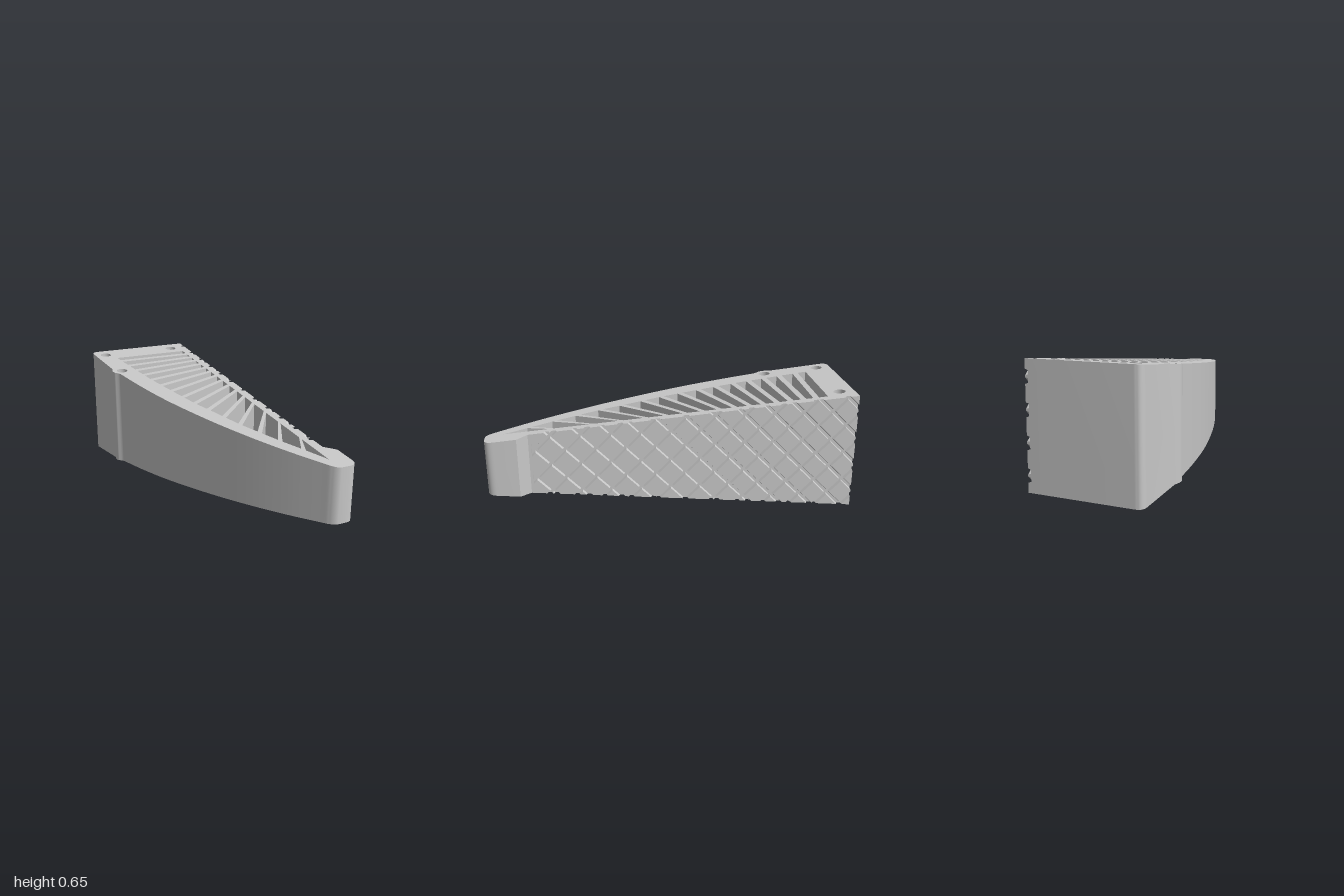
import * as THREE from 'three';
import { toCreasedNormals } from 'three/addons/utils/BufferGeometryUtils.js';
import { ConvexGeometry } from 'three/addons/geometries/ConvexGeometry.js';

const MID = 0.326;                                  // mid height of the finger
const WALL = 0.272, FACE = 0.29, GRIP_END = 0.76;   // groove floor, pad face, front end of pads
const halfHeight = z => 0.326 - 0.0888 * (z + 1);   // linear taper towards the tip

// inner edge of the curved wall, as [z, x]
const INNER = [[-0.84, -0.222], [-0.67, -0.2], [-0.4, -0.162], [-0.18, -0.118], [0.05, -0.068],
  [0.15, -0.037], [0.39, 0.032], [0.64, 0.127], [0.78, 0.188], [0.91, 0.24]];
function innerX(z) {
  let i = 0;
  while (i < INNER.length - 2 && z > INNER[i + 1][0]) i++;
  const [z0, x0] = INNER[i], [z1, x1] = INNER[i + 1];
  return x0 + (x1 - x0) * (z - z0) / (z1 - z0);
}

// rib ends along z: at the curved wall and at the grip wall
const RIB_LEFT = [-0.775, -0.675, -0.58, -0.485, -0.39, -0.285, -0.18, -0.07, 0.04, 0.15, 0.27, 0.39, 0.515, 0.64, 0.77];
const RIB_RIGHT = [-0.775, -0.705, -0.635, -0.56, -0.485, -0.41, -0.33, -0.245, -0.155, -0.06, 0.04, 0.15, 0.285, 0.44, 0.65];
const ribHalf = i => 0.016 - 0.0002 * i;

// plan outline; shape y is -z
function outline() {
  const s = new THREE.Shape();
  s.moveTo(WALL, 1);
  s.lineTo(WALL, -GRIP_END);
  s.lineTo(FACE, -GRIP_END);
  s.lineTo(FACE, -0.775);
  s.lineTo(0.342, -0.83);
  s.lineTo(0.342, -0.95);
  s.quadraticCurveTo(0.342, -1, 0.292, -1);
  s.lineTo(0.25, -1);
  s.quadraticCurveTo(0.222, -0.995, 0.2, -0.95);
  s.splineThru([[0.1, -0.76], [0, -0.54], [-0.1, -0.28], [-0.2, 0.04],
    [-0.262, 0.31], [-0.302, 0.54]].map(p => new THREE.Vector2(...p)));
  s.quadraticCurveTo(-0.309, 0.56, -0.325, 0.575);
  s.quadraticCurveTo(-0.341, 0.6, -0.321, 0.645);
  s.lineTo(-0.342, 0.96);
  s.quadraticCurveTo(-0.342, 1, -0.302, 1);
  s.closePath();

  // cells between the ribs, counter-clockwise
  const n = RIB_LEFT.length;
  for (let i = 0; i <= n; i++) {
    const a = i ? RIB_LEFT[i - 1] + ribHalf(i - 1) : -0.84;
    const b = i ? RIB_RIGHT[i - 1] + ribHalf(i - 1) : -0.84;
    const pts = [[0.24, b], [innerX(a), a]];
    if (i < n) {
      const c = RIB_LEFT[i] - ribHalf(i);
      pts.push([innerX(c), c], [0.24, RIB_RIGHT[i] - ribHalf(i)]);
    } else pts.push([0.24, 0.905]);
    s.holes.push(new THREE.Path(pts.map(([x, z]) => new THREE.Vector2(x, -z))));
  }
  // screw holes
  for (const [x, z] of [[-0.274, -0.92], [0.185, -0.92], [-0.274, -0.6]]) {
    s.holes.push(new THREE.Path().absarc(x, -z, 0.033, 0, Math.PI * 2, false));
  }
  return s;
}

// limits of the grip face, each positive inside; points are [z, height from middle]
const LIMITS = [
  p => p[0] + 1,
  p => GRIP_END - p[0],
  p => halfHeight(p[0]) - p[1],
  p => halfHeight(p[0]) + p[1],
];
function clip(poly) {
  for (const f of LIMITS) {
    const out = [];
    poly.forEach((p, i) => {
      const q = poly[(i + 1) % poly.length], a = f(p), b = f(q);
      if (a >= 0) out.push(p);
      if (a * b < 0) {
        const t = a / (a - b);
        out.push([p[0] + (q[0] - p[0]) * t, p[1] + (q[1] - p[1]) * t]);
      }
    });
    poly = out;
  }
  return poly;
}
const diamond = (z, y, r) => clip([[z + r, y], [z, y + r], [z - r, y], [z, y - r]]);

export function createModel() {
  const model = new THREE.Group();
  const grey = new THREE.MeshStandardMaterial({ color: 0xc8c8c8 });
  grey.name = 'light grey';

  // tapered ribbed body
  const body = new THREE.ExtrudeGeometry(outline(), { depth: 1, bevelEnabled: false, curveSegments: 8 });
  body.rotateX(-Math.PI / 2);
  const pos = body.attributes.position;
  for (let i = 0; i < pos.count; i++) {
    pos.setY(i, MID + (pos.getY(i) - 0.5) * 2 * halfHeight(pos.getZ(i)));
  }
  const bodyMesh = new THREE.Mesh(toCreasedNormals(body, 0.5), grey);
  bodyMesh.name = 'ribbedBody';
  model.add(bodyMesh);

  // diamond pads separated by narrow crossing grooves
  const pads = new THREE.Group();
  pads.name = 'gripPads';
  const step = 0.08;
  for (let i = 0; i <= 23; i++) {
    for (let j = -5; j <= 5; j++) {
      if ((i + j) % 2) continue;
      const z = 0.74 - i * step, y = j * step;
      const base = diamond(z, y, step - 0.01), top = diamond(z, y, step - 0.016);
      if (base.length < 3 || top.length < 3) continue;
      const pts = [[base, WALL - 0.001], [top, FACE]].flatMap(([poly, x]) =>
        poly.map(p => new THREE.Vector3(x, MID + p[1], p[0])));
      const pad = new THREE.Mesh(new ConvexGeometry(pts), grey);
      pad.name = 'gripPad';
      pads.add(pad);
    }
  }
  model.add(pads);
  return model;
}
